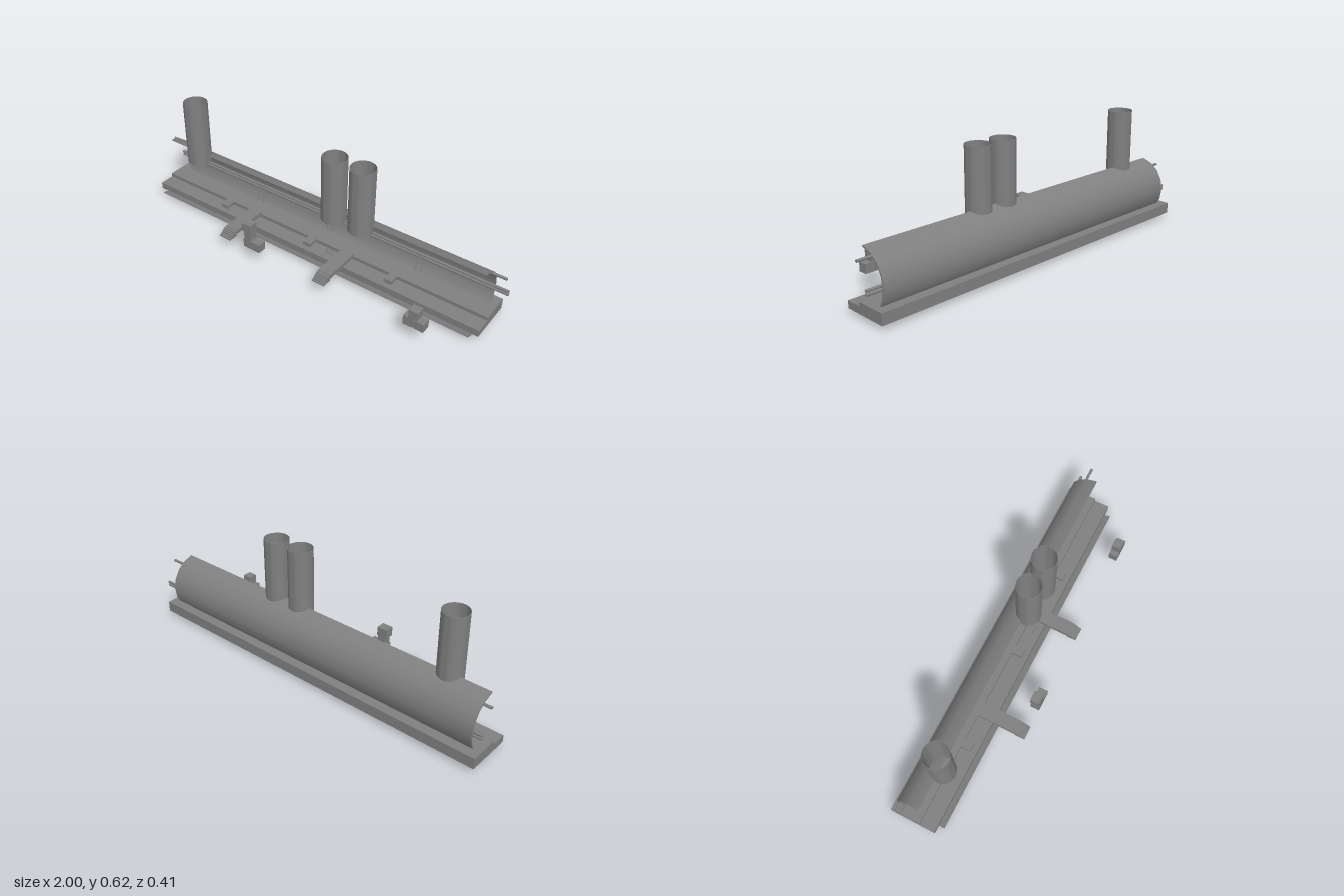
import * as THREE from 'three';
import { toCreasedNormals } from 'three/addons/utils/BufferGeometryUtils.js';

export function createModel() {
  const model = new THREE.Group();
  const grey = new THREE.MeshStandardMaterial({ color: 0x808080 });

  function add(name, geometry, parent = model) {
    const mesh = new THREE.Mesh(geometry, grey);
    mesh.name = name;
    parent.add(mesh);
    return mesh;
  }

  // Box given by its limits on each axis
  function box(name, x0, x1, y0, y1, z0, z1, parent = model) {
    const mesh = add(name, new THREE.BoxGeometry(x1 - x0, y1 - y0, z1 - z0), parent);
    mesh.position.set((x0 + x1) / 2, (y0 + y1) / 2, (z0 + z1) / 2);
    return mesh;
  }

  // Side profile of [z, y] points drawn out along x
  function prism(name, points, x0, x1) {
    const shape = new THREE.Shape(points.map(([z, y]) => new THREE.Vector2(-z, y)));
    const g = new THREE.ExtrudeGeometry(shape, { depth: x1 - x0, bevelEnabled: false });
    g.rotateY(Math.PI / 2).translate(x0, 0, 0);
    return add(name, toCreasedNormals(g, 0.7));
  }

  // Long curved shell, thickened on both sides of its centre line
  const line = [
    [-0.048, 0.315], [-0.1, 0.297], [-0.141, 0.264], [-0.168, 0.217], [-0.177, 0.162],
    [-0.168, 0.109], [-0.141, 0.061], [-0.1, 0.026], [-0.05, 0.008], [0.007, 0.008], [0.057, 0.026],
  ].map(([z, y]) => new THREE.Vector2(z, y));
  const offset = (d) => line.map((p, i) => {
    const a = line[Math.max(i - 1, 0)], b = line[Math.min(i + 1, line.length - 1)];
    const t = b.clone().sub(a).normalize();
    return [p.x - t.y * d, p.y + t.x * d];
  });
  prism('curvedShell', [...offset(0.004), ...offset(-0.004).reverse()], -0.96, 0.928);

  // Stepped walkway deck
  prism('deck', [
    [0.029, 0.024], [0.029, 0.06], [-0.051, 0.06], [-0.051, 0.08], [-0.206, 0.08], [-0.206, 0.024],
  ], -1, 0.963);
  for (const x of [-0.558, -0.013, 0.467]) box('deckStep', x - 0.022, x + 0.022, 0.06, 0.08, -0.051, 0);

  // Gangways ending in a short flight of steps
  const steps = [[0.157, 0.07], [0.208, 0.07]];
  for (let i = 0; i < 5; i++) {
    const z = 0.208 - i * 0.009, y = 0.076 + i * 0.006;
    steps.push([z, y], [z - 0.009, y]);
  }
  steps.push([0.157, 0.1]);
  for (const x of [-0.373, 0.209]) {
    box('gangway', x - 0.035, x + 0.035, 0.08, 0.103, -0.047, 0.157);
    prism('gangwaySteps', steps, x - 0.035, x + 0.035);
  }

  // Open chimneys with a thin wall
  const wall = [[0.0615, 0.275], [0.063, 0.275], [0.063, 0.621], [0.0615, 0.621], [0.0615, 0.275]]
    .map(([r, y]) => new THREE.Vector2(r, y));
  for (const x of [-0.747, 0.124, 0.28]) {
    const g = toCreasedNormals(new THREE.LatheGeometry(wall, 40), 0.7);
    add('chimney', g).position.set(x, 0, -0.037);
  }

  // Long pipes
  for (const [y, z] of [[0.286, -0.107], [0.174, -0.161], [0.157, -0.161]]) {
    const pipe = add('pipe', new THREE.CylinderGeometry(0.007, 0.007, 2, 14).rotateZ(Math.PI / 2));
    pipe.position.set(0, y, z);
  }

  // Ladders: two rails and evenly spaced rungs, leaning back by tilt
  function ladder(x, y, z, height, tilt = 0) {
    const g = new THREE.Group();
    g.name = 'ladder';
    const w = 0.016, t = 0.001;
    for (const s of [-1, 1]) box('ladderRail', s * w - t, s * w + t, 0, height, -t, t, g);
    for (let h = 0.012; h < height; h += 0.02) box('rung', -w, w, h - t, h + t, -t, t, g);
    g.position.set(x, y, z);
    g.rotation.x = tilt;
    model.add(g);
  }
  ladder(-0.42, 0.08, -0.135, 0.108, -0.17);
  ladder(0.552, 0.08, -0.135, 0.108, -0.17);
  ladder(-0.747, 0.222, -0.005, 0.054);
  ladder(0.127, 0.222, -0.005, 0.054);
  ladder(0.127, 0.001, -0.005, 0.108);

  // Rows of slanting slats between deck and shell
  for (const [x0, x1] of [[-0.62, -0.4], [0.55, 0.65]]) {
    for (let x = x0; x <= x1; x += 0.02) {
      const slat = add('slantingSlat', new THREE.BoxGeometry(0.006, 0.04, 0.002));
      slat.position.set(x, 0.096, -0.152);
      slat.rotation.x = -0.62;
    }
  }

  // Stacked block groups standing before the deck
  const blocks = [
    ['upperBlock', -0.254, -0.198, 0.175, 0.222],
    ['middleBlock', -0.24, -0.203, 0.13, 0.175],
    ['lowerBlock', -0.246, -0.2, 0.081, 0.13],
    ['sideBlock', -0.198, -0.148, 0.081, 0.127],
    ['upperBlock', 0.7, 0.746, 0.13, 0.175],
    ['lowerBlock', 0.674, 0.724, 0.081, 0.13],
    ['sideBlock', 0.728, 0.779, 0.081, 0.127],
  ];
  for (const [name, x0, x1, y0, y1] of blocks) box(name, x0, x1, y0, y1, 0.161, 0.208);

  return model;
}
